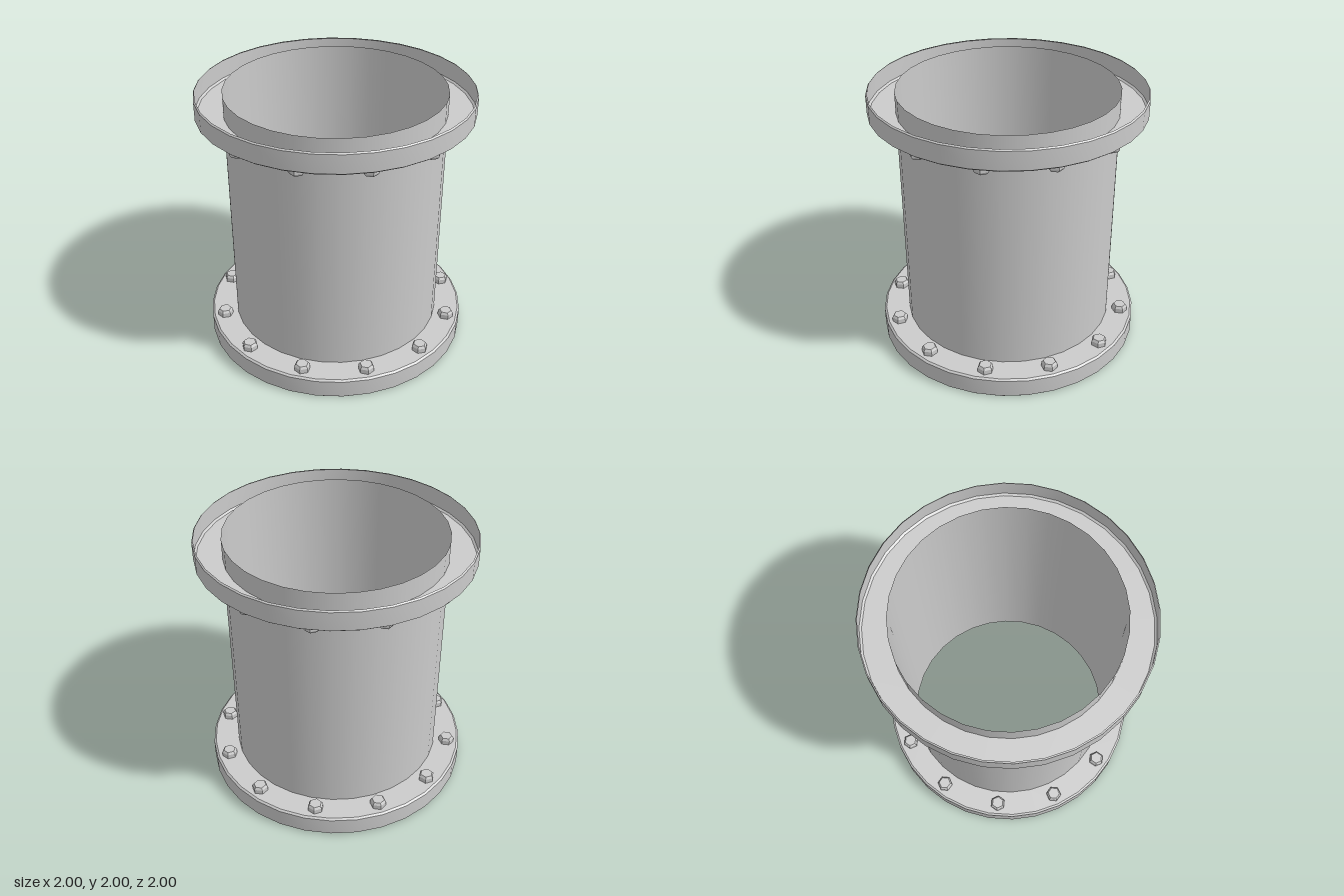
import * as THREE from 'three';
import { toCreasedNormals, mergeGeometries } from 'three/addons/utils/BufferGeometryUtils.js';

const SIDES = 32;
const BOLTS = 12;

export function createModel() {
  const model = new THREE.Group();
  model.name = 'flangedPipe';
  const solid = new THREE.MeshStandardMaterial({ color: 0xcccccc });
  const sheet = new THREE.MeshStandardMaterial({ color: 0xcccccc, side: THREE.DoubleSide });

  const add = (parent, geometry, material, name) => {
    const mesh = new THREE.Mesh(geometry, material);
    mesh.name = name;
    parent.add(mesh);
    return mesh;
  };

  // Open thin-walled pipe, running the full height
  const pipe = add(model, new THREE.CylinderGeometry(0.8, 0.8, 2, SIDES, 1, true), sheet, 'pipe');
  pipe.position.y = 1;

  // Flange: hollow cup with a bevelled rim, open toward the pipe's end
  const profile = [[0.99, 0], [1, 0.01], [1, 0.145], [0.985, 0.157], [0.8, 0.157]]
    .map(([r, y]) => new THREE.Vector2(r, y));
  const flangeGeometry = toCreasedNormals(new THREE.LatheGeometry(profile, SIDES), 0.4);

  // Hexagonal bolt head with a chamfered top
  const shank = new THREE.CylinderGeometry(0.059, 0.059, 0.036, 6, 1, true).translate(0, 0.018, 0);
  const chamfer = new THREE.CylinderGeometry(0.046, 0.059, 0.018, 6, 1, true).translate(0, 0.045, 0);
  const cap = new THREE.CircleGeometry(0.046, 6, Math.PI / 2).rotateX(-Math.PI / 2).translate(0, 0.054, 0);
  const boltGeometry = toCreasedNormals(mergeGeometries([shank, chamfer, cap]), 0.3);

  // The same flange and bolt ring at both ends, the upper one turned over
  for (const end of ['bottom', 'top']) {
    const group = new THREE.Group();
    group.name = `${end}Flange`;
    add(group, flangeGeometry, sheet, 'flangeRim');
    for (let i = 0; i < BOLTS; i++) {
      const angle = (i / BOLTS) * Math.PI * 2;
      const bolt = add(group, boltGeometry, solid, `bolt${i + 1}`);
      bolt.position.set(0.9 * Math.sin(angle), 0.157, 0.9 * Math.cos(angle));
      bolt.rotation.y = angle;
    }
    if (end === 'top') {
      group.rotation.x = Math.PI;
      group.position.y = 2;
    }
    model.add(group);
  }
  return model;
}
